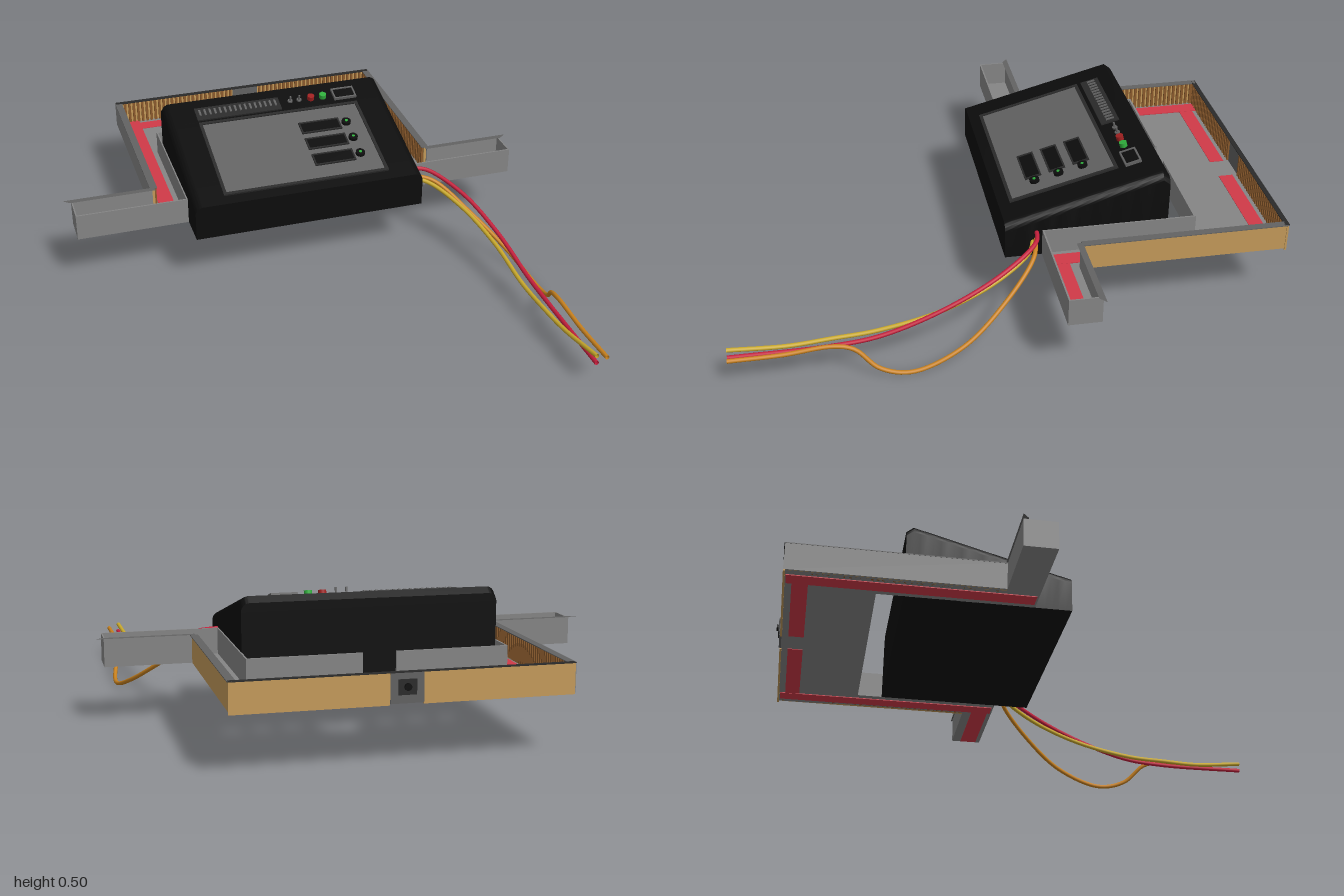
import * as THREE from 'three';
import { toCreasedNormals } from 'three/addons/utils/BufferGeometryUtils.js';

const mat = (color) => new THREE.MeshStandardMaterial({ color, side: THREE.DoubleSide });
const M = {
  black: mat(0x0c0c0c), dark: mat(0x2a2a2a), panel: mat(0x626262), steel: mat(0x858585),
  wood: mat(0xc49a5a), rib: mat(0x8a5a2c), red: mat(0xd03a48), wireRed: mat(0xc41f3c),
  yellow: mat(0xc9a92c), orange: mat(0xc9821f), green: mat(0x2fae3c), lampRed: mat(0xa02020),
};

function add(parent, name, geometry, material, x = 0, y = 0, z = 0) {
  const mesh = new THREE.Mesh(geometry, material);
  mesh.name = name;
  mesh.position.set(x, y, z);
  parent.add(mesh);
  return mesh;
}

// Box given by its limits on each axis
function box(parent, name, material, x0, x1, y0, y1, z0, z1) {
  return add(parent, name, new THREE.BoxGeometry(Math.abs(x1 - x0), y1 - y0, z1 - z0), material,
    (x0 + x1) / 2, (y0 + y1) / 2, (z0 + z1) / 2);
}

const FRONT = 0.015, BACK = -0.575, LOW = 0.345, SLOPE = 0.15 / 0.565;

// Wedge housing: rounded section swept to the back, its top lifted along the slope
function housing() {
  const w = 0.447, r = 0.03, b = 0.21;
  const s = new THREE.Shape();
  s.moveTo(-w, b);
  s.lineTo(w, b);
  s.lineTo(w, LOW - r);
  s.absarc(w - r, LOW - r, r, 0, Math.PI / 2);
  s.lineTo(-w + r, LOW);
  s.absarc(-w + r, LOW - r, r, Math.PI / 2, Math.PI);
  s.lineTo(-w, b);
  const g = new THREE.ExtrudeGeometry(s, { depth: FRONT - BACK, steps: 24, bevelEnabled: false, curveSegments: 8 });
  g.translate(0, 0, BACK);
  const p = g.attributes.position;
  for (let i = 0; i < p.count; i++) {
    const z = p.getZ(i);
    if (p.getY(i) < 0.3) continue;
    const lift = z < -0.55 ? 0.15 - (-0.55 - z) * 0.8 : (FRONT - z) * SLOPE;
    p.setY(i, p.getY(i) + lift);
  }
  return toCreasedNormals(g, 0.5);
}

function controlFace() {
  const face = new THREE.Group();
  face.name = 'controlFace';
  face.position.set(0, LOW, FRONT);
  const angle = Math.atan(SLOPE);
  face.rotation.x = angle;
  const k = 1 / Math.cos(angle);
  const plate = (name, m, x0, x1, z0, z1, y0, y1) =>
    box(face, name, m, x0, x1, y0, y1, (z0 - FRONT) * k, (z1 - FRONT) * k);
  const disc = (name, m, x, z, r, h) =>
    add(face, name, new THREE.CylinderGeometry(r, r, h, 20), m, x, h / 2, (z - FRONT) * k);
  const frame = (name, m, x0, x1, z0, z1, t, h) => {
    plate(name, m, x0, x1, z0, z0 + t, 0, h);
    plate(name, m, x0, x1, z1 - t, z1, 0, h);
    plate(name, m, x0, x0 + t, z0, z1, 0, h);
    plate(name, m, x1 - t, x1, z0, z1, 0, h);
  };

  // Main panel with three displays and knobs
  plate('mainPanel', M.panel, -0.32, 0.315, -0.41, -0.035, -0.002, 0.003);
  frame('panelFrame', M.dark, -0.328, 0.323, -0.418, -0.025, 0.012, 0.007);
  for (const z of [-0.308, -0.22, -0.132]) {
    plate('display', M.black, 0.06, 0.21, z - 0.024, z + 0.024, 0, 0.006);
    frame('displayFrame', M.dark, 0.053, 0.217, z - 0.03, z + 0.03, 0.006, 0.009);
    disc('knob', M.black, 0.242, z, 0.018, 0.015);
    disc('knobLight', M.green, 0.242, z, 0.006, 0.017);
  }

  // Slotted strip above the panel
  plate('ventStrip', M.dark, -0.328, 0.015, -0.5, -0.432, -0.002, 0.006);
  for (let i = 0; i < 16; i++) {
    const x = -0.315 + i * 0.0205;
    plate('ventSlat', M.panel, x, x + 0.008, -0.485, -0.455, 0.004, 0.01);
  }

  // Switches, lamps and socket
  for (const x of [0.06, 0.097]) {
    disc('switchCollar', M.panel, x, -0.472, 0.01, 0.006);
    disc('switchLever', M.panel, x, -0.472, 0.004, 0.025);
  }
  disc('redLamp', M.lampRed, 0.145, -0.47, 0.014, 0.018);
  disc('greenLamp', M.green, 0.195, -0.47, 0.014, 0.018);
  plate('socket', M.black, 0.245, 0.325, -0.495, -0.45, 0, 0.008);
  frame('socketFrame', M.panel, 0.238, 0.33, -0.502, -0.443, 0.006, 0.011);
  return face;
}

// U-shaped open tray around the housing, with an arm on each side
function tray() {
  const g = new THREE.Group();
  g.name = 'tray';
  const y0 = 0.21, y1 = 0.31, t = 0.006;
  box(g, 'backFloor', M.steel, -0.56, 0.56, y0, y0 + t, -0.98, -0.67);
  for (const s of [-1, 1]) {
    const b = (name, m, xa, xb, ya, yb, za, zb) => box(g, name, m, s * xa, s * xb, ya, yb, za, zb);
    b('sideFloor', M.steel, 0.45, 0.56, y0, y0 + t, -0.67, -0.12);
    b('backWall', M.wood, 0.055, 0.565, 0.205, y1, -0.985, -0.978);
    b('backWallCap', M.dark, 0, 0.565, y1 - 0.002, y1 + 0.001, -0.988, -0.97);
    b('sideWall', M.wood, 0.55, 0.562, y0, y1, -0.98, -0.235);
    if (s < 0) b('sideWallSkin', M.steel, 0.562, 0.567, y0, y1, -0.985, -0.235);
    b('sideWallCap', M.panel, 0.54, 0.568, y1 - 0.002, y1 + 0.001, -0.985, -0.235);
    b('innerBackWall', M.steel, 0.058, 0.45, y0, y1, -0.678, -0.67);
    b('innerSideWall', M.steel, 0.446, 0.452, y0, y1, -0.678, -0.12);

    // Ribbed lining
    for (let i = 0; i < 27; i++) {
      const x = 0.06 + i * 0.0185;
      b('backRib', M.rib, x, x + 0.01, y0, y1 - 0.003, -0.978, -0.97);
    }
    for (let i = 0; i < 40; i++) {
      const z = -0.97 + i * 0.0184;
      b('sideRib', M.rib, 0.542, 0.55, y0, y1 - 0.003, z, z + 0.01);
    }

    // Channel arm
    b('armFloor', M.steel, 0.56, 0.87, y0, y0 + t, -0.235, -0.12);
    b('armFront', M.steel, 0.447, 0.87, y0, y1, -0.124, -0.118);
    b('armBack', M.steel, 0.56, 0.87, y0, y1, -0.235, -0.229);
    b('armEnd', M.steel, 0.865, 0.87, y0, y1, -0.235, -0.118);
    const lip = new THREE.Shape([[0.55, 0.24], [0.9, 0.24], [0.875, 0.218], [0.55, 0.218]]
      .map(([x, y]) => new THREE.Vector2(s * x, y)));
    add(g, 'armLip', new THREE.ShapeGeometry(lip), M.panel, 0, y1 + 0.001, 0).rotation.x = -Math.PI / 2;

    // Red lining strips, showing above and below the floor
    b('redBackStrip', M.red, 0.055, 0.53, y0 - 0.002, y0 + t + 0.002, -0.955, -0.9);
    b('redSideStrip', M.red, 0.472, 0.532, y0 - 0.003, y0 + t + 0.003, -0.975, -0.125);
  }
  box(g, 'redArmStrip', M.red, 0.53, 0.865, y0 - 0.002, y0 + t + 0.002, -0.2, -0.135);

  // Latch at the middle of the back
  box(g, 'latchPlate', M.panel, -0.055, 0.055, y0, y1, -0.988, -0.975);
  box(g, 'latchBlock', M.dark, -0.03, 0.03, 0.238, 0.288, -0.993, -0.986);
  add(g, 'latchKnob', new THREE.CylinderGeometry(0.012, 0.012, 0.012, 16), M.black, 0, 0.264, -0.994)
    .rotation.x = Math.PI / 2;
  return g;
}

function wire(parent, name, material, points) {
  const curve = new THREE.CatmullRomCurve3(points.map((p) => new THREE.Vector3(...p)));
  add(parent, name, new THREE.TubeGeometry(curve, 80, 0.008, 10), material);
}

export function createModel() {
  const model = new THREE.Group();
  model.name = 'controlConsole';
  add(model, 'housing', housing(), M.black);
  model.add(controlFace(), tray());

  // Loose wires from the side of the housing
  const wires = new THREE.Group();
  wires.name = 'wires';
  wire(wires, 'redWire', M.wireRed, [[0.43, 0.305, -0.1], [0.5, 0.298, -0.085], [0.6, 0.25, 0.05],
    [0.665, 0.18, 0.25], [0.695, 0.115, 0.48], [0.704, 0.1, 0.65], [0.708, 0.1, 1]]);
  wire(wires, 'yellowWire', M.yellow, [[0.43, 0.27, -0.09], [0.5, 0.255, -0.06], [0.59, 0.205, 0.08],
    [0.645, 0.15, 0.28], [0.66, 0.11, 0.5], [0.67, 0.105, 0.65], [0.685, 0.105, 0.8], [0.706, 0.13, 1]]);
  wire(wires, 'orangeWire', M.orange, [[0.43, 0.28, -0.1], [0.53, 0.25, -0.07], [0.64, 0.155, 0.05],
    [0.735, 0.06, 0.21], [0.775, 0.01, 0.39], [0.768, 0.035, 0.5], [0.742, 0.105, 0.58],
    [0.736, 0.122, 0.65], [0.74, 0.112, 0.82], [0.746, 0.115, 1]]);
  model.add(wires);
  return model;
}
